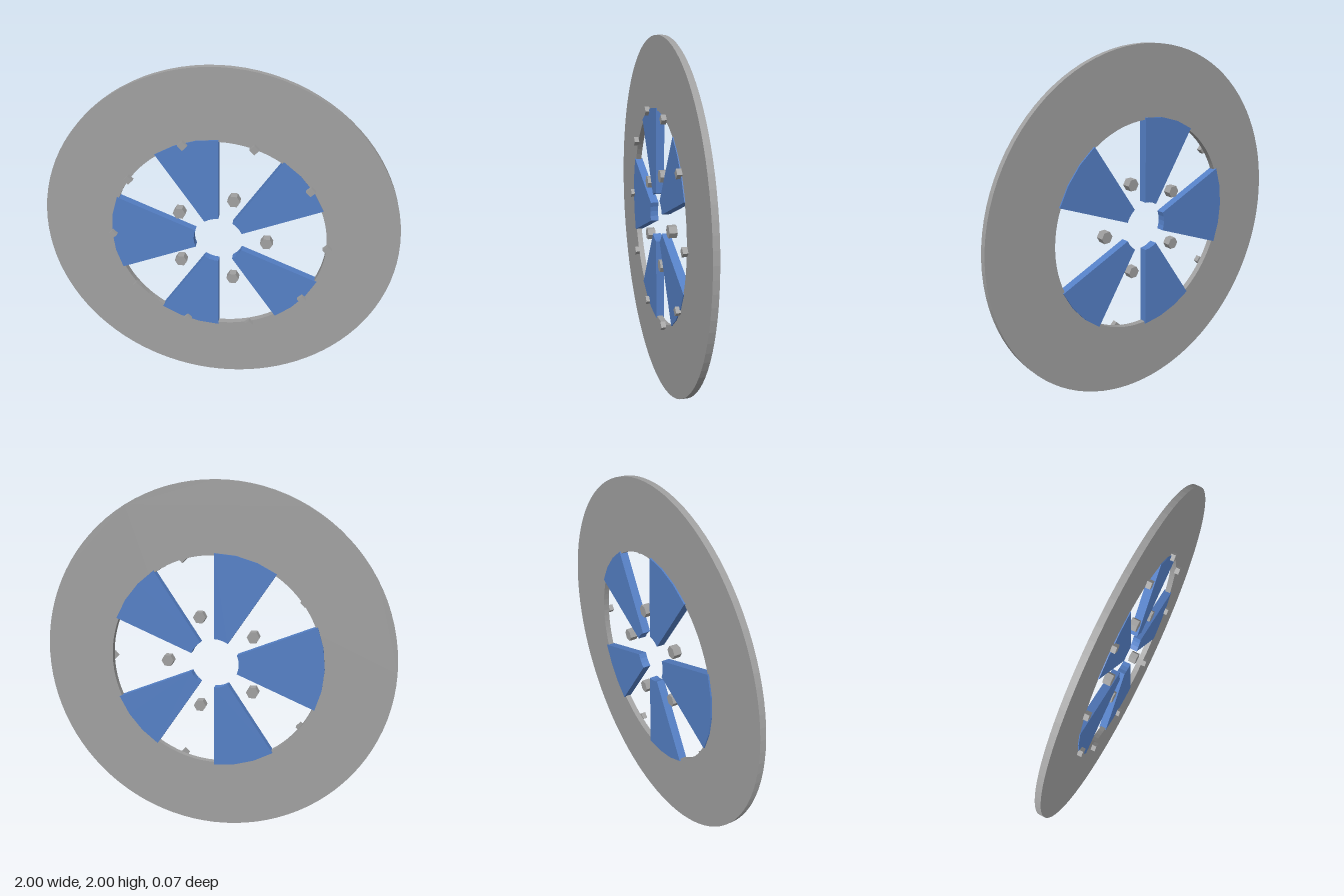
import * as THREE from 'three';

const STEP = Math.PI / 16; // spokes follow a 32-sided circle

const make = (color, name) => {
  const m = new THREE.MeshStandardMaterial({ color });
  m.name = name;
  return m;
};

// Flat plate from a shape, occupying z0..z1
function plate(shape, z0, z1, curveSegments = 12) {
  const geo = new THREE.ExtrudeGeometry(shape, { depth: z1 - z0, bevelEnabled: false, curveSegments });
  return geo.translate(0, 0, z0);
}

// Sector of a ring between two step counts
function sector(from, to, inner, outer) {
  const pts = [];
  const add = (r, i) => pts.push(new THREE.Vector2(r * Math.cos(i * STEP), r * Math.sin(i * STEP)));
  for (let i = from; i <= to; i++) add(outer, i);
  for (let i = to; i >= from; i--) add(inner, i);
  return new THREE.Shape(pts);
}

// Regular prism along z with a corner pointing to +x
function prism(sides, radius, z0, z1) {
  const pts = Array.from({ length: sides }, (_, i) => {
    const a = (i / sides) * Math.PI * 2;
    return new THREE.Vector2(radius * Math.cos(a), radius * Math.sin(a));
  });
  return plate(new THREE.Shape(pts), z0, z1);
}

export function createModel() {
  const grey = make(0xa0a0a0, 'grey metal');
  const blue = make(0x5580c6, 'blue paint');
  const group = new THREE.Group();
  group.name = 'wheel';

  const add = (geo, mat, name, x = 0, y = 0) => {
    const mesh = new THREE.Mesh(geo, mat);
    mesh.name = name;
    mesh.position.set(x, 1 + y, 0);
    group.add(mesh);
  };

  // Rim: flat ring
  const ring = new THREE.Shape().absarc(0, 0, 1, 0, Math.PI * 2);
  ring.holes.push(new THREE.Path().absarc(0, 0, 0.605, 0, Math.PI * 2, true));
  add(plate(ring, -0.026, 0.007, 48), grey, 'rim');

  // Five spokes, the one on the right-hand side a step wider
  [[2, 5], [8, 11], [14, 18], [21, 24], [27, 30]].forEach(([a, b], i) =>
    add(plate(sector(a, b, 0.142, 0.617), -0.034, 0.012), blue, `spoke${i + 1}`));

  // Hexagonal lug nuts between the spokes
  const nut = prism(6, 0.036, -0.03, 0.015);
  for (let i = 0; i < 5; i++) {
    const a = (i / 5) * Math.PI * 2;
    add(nut, grey, `lugNut${i + 1}`, 0.272 * Math.cos(a), 0.272 * Math.sin(a));
  }

  // Small square bolts along the inner edge of the rim
  const bolt = prism(4, 0.026, 0.006, 0.034);
  for (let i = 0; i < 10; i++) {
    const a = (i / 10) * Math.PI * 2;
    add(bolt, grey, `rimBolt${i + 1}`, 0.61 * Math.cos(a), 0.61 * Math.sin(a));
  }

  return group;
}
